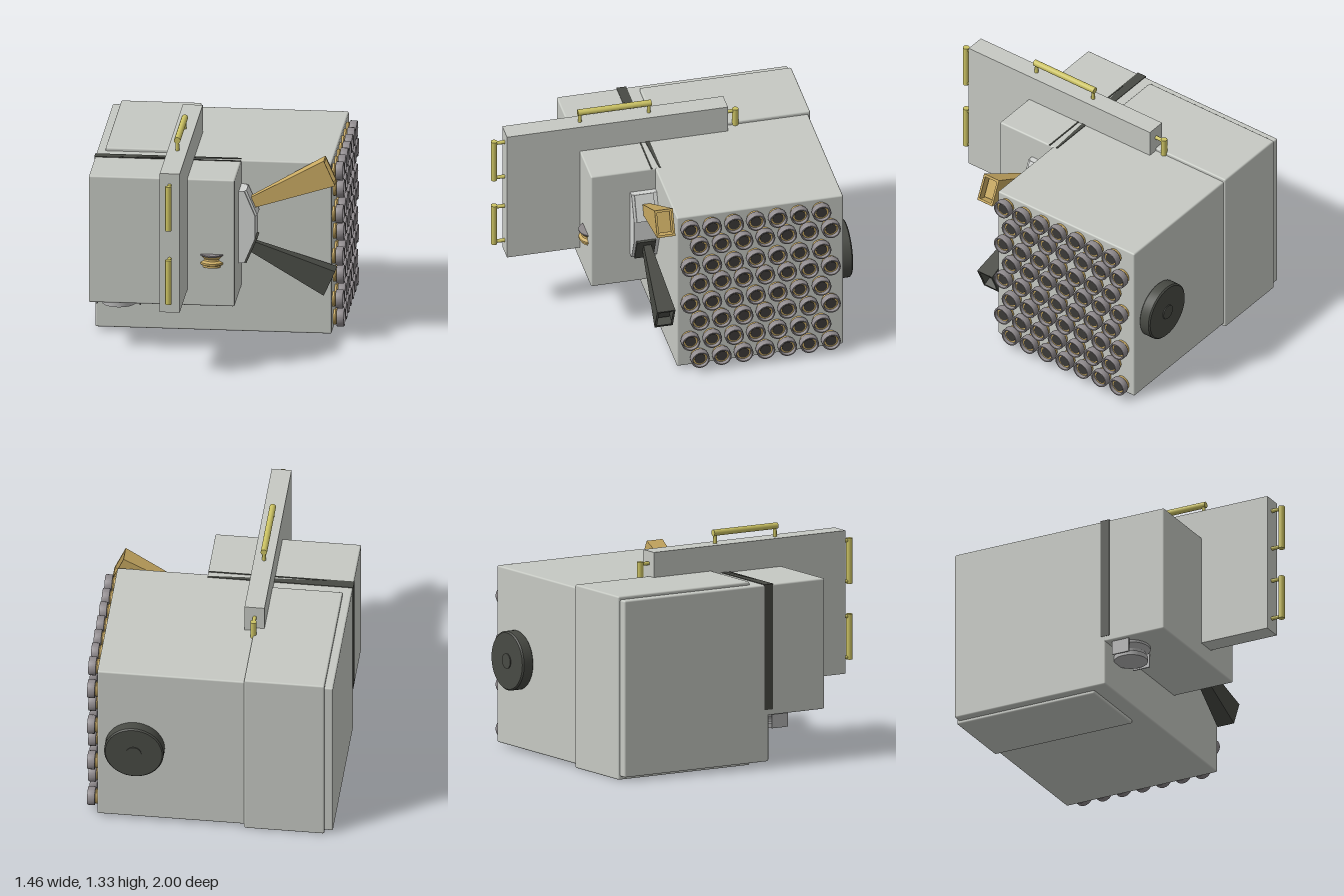
import * as THREE from 'three';
import { RoundedBoxGeometry } from 'three/addons/geometries/RoundedBoxGeometry.js';
import { toCreasedNormals } from 'three/addons/utils/BufferGeometryUtils.js';

const mat = (name, color, side = THREE.FrontSide) => {
  const m = new THREE.MeshStandardMaterial({ color, side });
  m.name = name;
  return m;
};

export function createModel() {
  const root = new THREE.Group();
  root.name = 'machine';
  const shell = mat('shellGrey', 0xc6c9c3);
  const pale = mat('paleGrey', 0xd2d4d2);
  const steel = mat('steelGrey', 0xb4b4b4, THREE.DoubleSide);
  const dark = mat('darkGrey', 0x484a44, THREE.DoubleSide);
  const gold = mat('hornGold', 0xc9aa62, THREE.DoubleSide);
  const brass = mat('handleBrass', 0xcbc263);
  const lens = mat('lensGrey', 0x8f8a8d, THREE.DoubleSide);
  const core = mat('lensCore', 0x3c3a38);

  const add = (name, geo, m, x = 0, y = 0, z = 0, parent = root) => {
    const mesh = new THREE.Mesh(geo, m);
    mesh.name = name;
    mesh.position.set(x, y, z);
    parent.add(mesh);
    return mesh;
  };
  // box given by its limits, with an optional edge radius
  const box = (name, m, x0, x1, y0, y1, z0, z1, r = 0) => {
    const s = [x1 - x0, y1 - y0, z1 - z0];
    const geo = r ? new RoundedBoxGeometry(...s, 2, r) : new THREE.BoxGeometry(...s);
    return add(name, geo, m, (x0 + x1) / 2, (y0 + y1) / 2, (z0 + z1) / 2);
  };
  const lathe = (pts, seg = 32) => toCreasedNormals(
    new THREE.LatheGeometry(pts.map(p => new THREE.Vector2(...p)), seg), 0.5);
  const outline = pts => new THREE.Shape(pts.map(p => new THREE.Vector2(...p)));
  const extrude = (pts, depth) =>
    new THREE.ExtrudeGeometry(outline(pts), { depth, bevelEnabled: false });

  // housings
  box('mainBody', shell, -0.73, 0.665, 0.025, 1.08, -0.92, 0.085, 0.01);
  box('bodySleeve', shell, -0.68, -0.205, 0.005, 1.1, -0.932, -0.015, 0.01);
  box('frontHousing', shell, -0.73, 0.132, 0.3, 1.08, 0.07, 0.475, 0.01);
  box('uprightPlate', shell, -0.265, -0.147, 0.395, 1.25, -0.42, 0.915);

  // dark seam between the two housings
  const seam = add('seam', extrude(
    [[-0.733, 0.053], [0.13, 0.053], [0.13, 0.063], [-0.733, 0.112]], 0.75), dark, 0, 1.084, 0);
  seam.rotation.x = Math.PI / 2;
  box('seamEdge', dark, -0.73, 0.13, 1.07, 1.084, 0.104, 0.112);

  // pull handles: a bar on two short posts
  const handle = (name, length, height) => {
    const g = new THREE.Group();
    g.name = name;
    const bar = add('bar', new THREE.CylinderGeometry(0.019, 0.019, length, 16), brass, 0, height - 0.019, 0, g);
    bar.rotation.x = Math.PI / 2;
    for (const s of [-1, 1])
      add('post', new THREE.CylinderGeometry(0.01, 0.012, height, 12), brass, 0, height / 2 - 0.01, s * (length / 2 - 0.014), g);
    root.add(g);
    return g;
  };
  handle('topHandle', 0.445, 0.083).position.set(-0.207, 1.25, 0.252);
  for (const y of [1.055, 0.602]) {
    const h = handle('frontHandle', 0.272, 0.083);
    h.position.set(-0.207, y, 0.915);
    h.rotation.x = Math.PI / 2;
  }
  const rearHandle = handle('rearHandle', 0.272, 0.078);
  rearHandle.position.set(-0.207, 1.055, -0.42);
  rearHandle.rotation.x = -Math.PI / 2;

  // small dial set into the front
  add('dialBase', lathe([[0, 0.54], [0.063, 0.54], [0.063, 0.552], [0.075, 0.558],
    [0.075, 0.57], [0.058, 0.58], [0.055, 0.59], [0.068, 0.608]]), gold, -0.003, 0, 0.44);
  add('dialCap', lathe([[0.066, 0.606], [0.076, 0.613], [0.076, 0.62], [0, 0.62]]), lens, -0.003, 0, 0.44);

  // knob and its bracket below the front housing
  add('lowerKnob', lathe([[0, 0.21], [0.1, 0.21], [0.1, 0.238], [0.088, 0.244],
    [0.09, 0.258], [0.115, 0.285], [0.115, 0.302]]), steel, -0.58, 0, 0.175);
  for (const x of [-0.71, -0.455])
    box('knobBracket', steel, x, x + 0.008, 0.215, 0.3, 0.12, 0.23);

  // rear wheel
  const wheel = new THREE.Group();
  wheel.name = 'rearWheel';
  add('tyre', lathe([[0, 0], [0.17, 0], [0.176, 0.006], [0.176, 0.066], [0.168, 0.074], [0, 0.074]], 48), dark, 0, 0, 0, wheel);
  add('hub', new THREE.CylinderGeometry(0.045, 0.045, 0.008, 32), dark, 0, 0.076, 0, wheel);
  wheel.position.set(0.44, 0.55, -0.92);
  wheel.rotation.x = -Math.PI / 2;
  root.add(wheel);

  // horn mount
  add('hornMount', extrude([[0.13, 0.935], [0.165, 0.935], [0.228, 0.785], [0.228, 0.645],
    [0.165, 0.495], [0.13, 0.495]], 0.155), pale, 0, 0, 0.083);

  // flared square horns with recessed mouths, mirrored up and down
  const frustum = (top, bottom, length, open) => {
    const k = Math.SQRT1_2;
    const geo = new THREE.CylinderGeometry(top * k, bottom * k, length, 4, 1, open, Math.PI / 4).toNonIndexed();
    geo.scale(1, 1, 0.667);
    geo.computeVertexNormals();
    return geo;
  };
  for (const s of [1, -1]) {
    const m = s > 0 ? gold : dark;
    const plate = add('hornPlate', new THREE.BoxGeometry(0.018, 0.165, 0.115), s > 0 ? pale : dark,
      0.2, 0.715 + s * 0.145, 0.165);
    plate.rotation.z = s * 0.4;
    const horn = new THREE.Group();
    horn.name = s > 0 ? 'upperHorn' : 'lowerHorn';
    add('flare', frustum(0.165, 0.066, 0.504, true), m, 0, 0, 0, horn);
    add('throat', frustum(0.13, 0.12, 0.02, false), m, 0, 0.19, 0, horn);
    const rim = outline([[-0.0825, -0.055], [0.0825, -0.055], [0.0825, 0.055], [-0.0825, 0.055]]);
    rim.holes.push(outline([[-0.068, -0.042], [-0.068, 0.042], [0.068, 0.042], [0.068, -0.042]]));
    const frame = add('rim', new THREE.ShapeGeometry(rim), m, 0, 0.251, 0, horn);
    frame.rotation.x = -Math.PI / 2;
    horn.position.set(0.435, 0.715 + s * 0.237, 0.157);
    horn.rotation.z = s > 0 ? -1.151 : -Math.PI + 1.151;
    root.add(horn);
  }

  // staggered bank of lenses on the side
  const collarGeo = lathe([[0.046, 0], [0.046, 0.012], [0.04, 0.02]], 20);
  const barrelGeo = lathe([[0.036, 0.018], [0.054, 0.02], [0.056, 0.024], [0.056, 0.058],
    [0.053, 0.064], [0.046, 0.064], [0.042, 0.045]], 20);
  const ringGeo = lathe([[0.044, 0.044], [0.03, 0.044]], 20);
  const coreGeo = new THREE.CylinderGeometry(0.033, 0.033, 0.022, 20);
  [1.01, 0.885, 0.745, 0.62, 0.485, 0.355, 0.22, 0.09].forEach((y, row) => {
    for (let i = 0; i < 7; i++) {
      const g = new THREE.Group();
      g.name = 'sideLens';
      add('collar', collarGeo, gold, 0, 0, 0, g);
      add('barrel', barrelGeo, lens, 0, 0, 0, g);
      add('innerRing', ringGeo, gold, 0, 0, 0, g);
      add('core', coreGeo, core, 0, 0.037, 0, g);
      g.position.set(0.665, y, 0.013 - (row % 2) * 0.057 - i * 0.132);
      g.rotation.z = -Math.PI / 2;
      root.add(g);
    }
  });

  return root;
}
